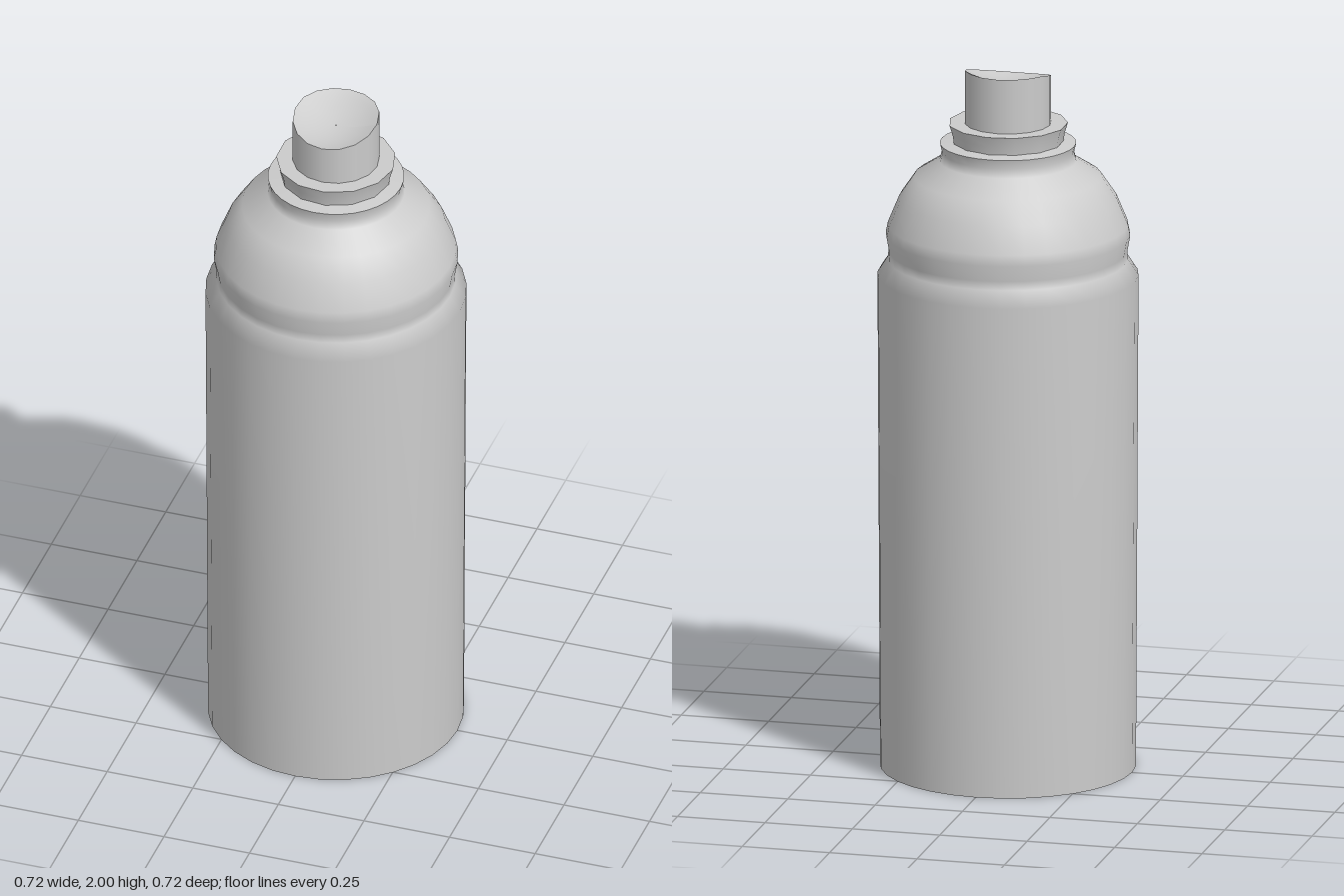
import * as THREE from 'three';

const material = new THREE.MeshStandardMaterial({ color: 0xcccccc, side: THREE.DoubleSide });

function addMesh(group, name, geometry) {
  const mesh = new THREE.Mesh(geometry, material);
  mesh.name = name;
  group.add(mesh);
  return mesh;
}

function lathe(points, sides, start = 0) {
  return new THREE.LatheGeometry(points.map(([r, y]) => new THREE.Vector2(r, y)), sides, start);
}

// Height of the slanted nozzle rim: low at the front, level at the back
function rimHeight(z) {
  const t = THREE.MathUtils.clamp((z + 0.06) / 0.18, 0, 1);
  return 2 - 0.044 * Math.pow(t, 1.2);
}

export function createModel() {
  const model = new THREE.Group();

  // Can body with waist groove and domed shoulder
  addMesh(model, 'body', lathe([
    [0.355, 0], [0.362, 1.41], [0.333, 1.455], [0.331, 1.48], [0.339, 1.525],
    [0.333, 1.555], [0.302, 1.63], [0.26, 1.692], [0.19, 1.737], [0.183, 1.762], [0.189, 1.788],
  ], 32));
  const base = addMesh(model, 'base', new THREE.CircleGeometry(0.355, 32));
  base.rotation.x = Math.PI / 2;

  // Step on top of the shoulder
  addMesh(model, 'shoulderTop', lathe([[0.189, 1.788], [0.15, 1.793]], 32));

  // Coarse collar around the nozzle
  const start = THREE.MathUtils.degToRad(7.5);
  addMesh(model, 'collar', lathe([[0.153, 1.785], [0.157, 1.815], [0.166, 1.845]], 13, start));
  addMesh(model, 'collarTop', lathe([[0.166, 1.845], [0.1, 1.845]], 13, start));

  // Nozzle wall, its upper edge cut at a slant
  const wall = new THREE.CylinderGeometry(0.12, 0.12, 0.16, 16, 1, true);
  wall.translate(0, 1.92, 0);
  const wallPos = wall.attributes.position;
  for (let i = 0; i < wallPos.count; i++) {
    if (wallPos.getY(i) > 1.92) wallPos.setY(i, rimHeight(wallPos.getZ(i)));
  }
  addMesh(model, 'nozzle', wall);

  // Finger dish sunk into the nozzle top
  const dish = new THREE.RingGeometry(0.001, 0.12, 16, 6);
  dish.rotateX(-Math.PI / 2);
  const dishPos = dish.attributes.position;
  for (let i = 0; i < dishPos.count; i++) {
    const z = dishPos.getZ(i);
    const r = Math.hypot(dishPos.getX(i), z) / 0.12;
    dishPos.setY(i, rimHeight(z) - 0.03 * (1 - r * r));
  }
  dish.computeVertexNormals();
  addMesh(model, 'fingerDish', dish);

  return model;
}
